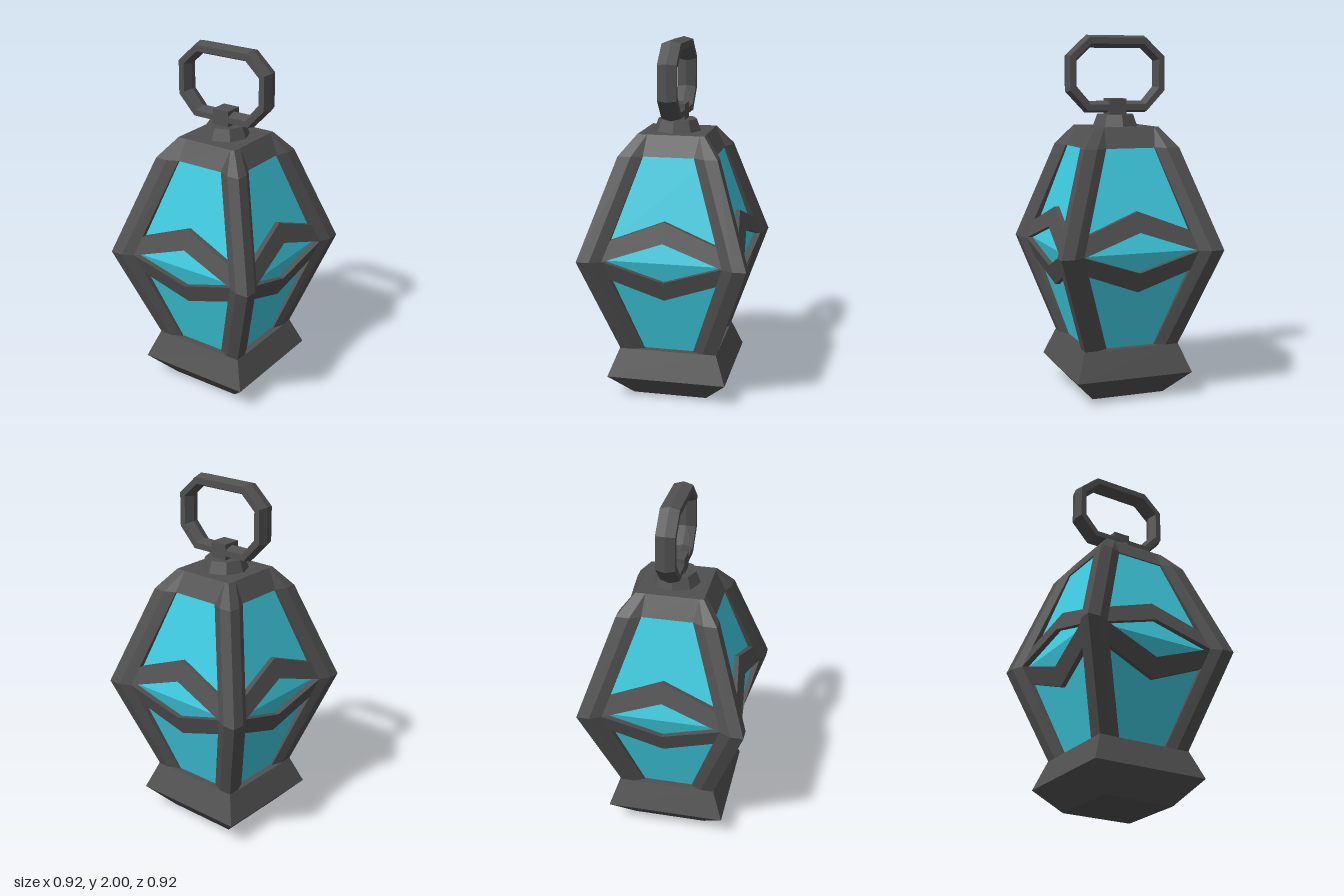
import * as THREE from 'three';

const metal = new THREE.MeshStandardMaterial({ color: 0x505050 });
metal.name = 'dark metal';
const glass = new THREE.MeshStandardMaterial({ color: 0x3ecbe0 });
glass.name = 'cyan glass';

// Joins matching cross-sections into a faceted solid; outward winding is set by the signed volume.
function loft(rings, closed = false) {
  const tris = [];
  const n = rings[0].length;
  const last = closed ? rings.length : rings.length - 1;
  for (let i = 0; i < last; i++) {
    const a = rings[i], b = rings[(i + 1) % rings.length];
    for (let j = 0; j < n; j++) {
      const k = (j + 1) % n;
      tris.push([a[j], a[k], b[k]], [a[j], b[k], b[j]]);
    }
  }
  if (!closed) {
    const cap = (ring, flip) => {
      const c = [0, 1, 2].map(d => ring.reduce((s, p) => s + p[d], 0) / n);
      ring.forEach((p, j) => {
        const q = ring[(j + 1) % n];
        tris.push(flip ? [c, q, p] : [c, p, q]);
      });
    };
    cap(rings[0], true);
    cap(rings[rings.length - 1], false);
  }
  const v = p => new THREE.Vector3(...p);
  const volume = tris.reduce((s, [a, b, c]) => s + v(a).dot(v(b).cross(v(c))), 0);
  const points = tris.flatMap(t => (volume < 0 ? [t[0], t[2], t[1]] : t)).map(v);
  const geometry = new THREE.BufferGeometry().setFromPoints(points);
  geometry.computeVertexNormals();
  return geometry;
}

const square = (h, y) => [[h, y, h], [h, y, -h], [-h, y, -h], [-h, y, h]];

// Body sizes by height, symmetric about the waist
const WAIST = 0.84, HALF = 0.55;
const body = y => {
  const t = Math.abs(y - WAIST) / HALF;
  const mix = (a, b) => a + (b - a) * t;
  return {
    corner: mix(0.462, 0.273), // outer corner of the posts
    ridge: mix(0.39, 0.2),     // where the raised corner begins
    face: mix(0.43, 0.245),    // front of the frame
    pane: mix(0.395, 0.235),   // glass surface
    side: mix(0.3275, 0.14),   // half width of the window
  };
};

export function createModel() {
  const model = new THREE.Group();
  model.name = 'lantern';
  const add = (name, geometry, material, parent = model) => {
    const mesh = new THREE.Mesh(geometry, material);
    mesh.name = name;
    parent.add(mesh);
    return mesh;
  };

  // Flared foot
  add('base', loft([square(0.21, 0), square(0.335, 0.135), square(0.275, 0.29)]), metal);

  // Glass body, widest at the waist
  add('glassBody', loft([0.28, WAIST, 1.4].map(y => square(body(y).pane, y))), glass);

  // Corner posts with a raised outer edge
  const postGeometry = loft([0.29, WAIST, 1.39].map(y => {
    const { corner: c, ridge: r, face: f, pane, side: w } = body(y);
    const b = pane - 0.02;
    return [[w, f], [r, c], [c, c], [c, r], [f, w], [b, w], [b, b], [w, b]].map(([x, z]) => [x, y, z]);
  }));

  // Chevron bars above and below the waist
  const chevron = up => loft([-1, 0, 1].map(s => {
    const top = s ? 0.95 : 1.06, bottom = s ? WAIST : 0.95;
    const point = (h, key, inset) => {
      const m = body(h);
      return [s * m.side, up ? h : 2 * WAIST - h, m[key] - inset];
    };
    return [point(top, 'face', 0), point(bottom, 'face', 0), point(bottom, 'pane', 0.02), point(top, 'pane', 0.02)];
  }));
  const upper = chevron(true), lower = chevron(false);

  for (let i = 0; i < 4; i++) {
    const side = new THREE.Group();
    side.name = 'frameSide' + (i + 1);
    side.rotation.y = i * Math.PI / 2;
    add('cornerPost', postGeometry, metal, side);
    add('upperChevron', upper, metal, side);
    add('lowerChevron', lower, metal, side);
    model.add(side);
  }

  // Roof: follows the post outline below and narrows to a flat square
  const outline = (y, w, f, r, c) => {
    const quarter = [[-w, f], [w, f], [r, c], [c, c], [c, r]];
    const ring = [];
    for (let i = 0; i < 4; i++) {
      for (const [x, z] of quarter) {
        const p = [[x, z], [z, -x], [-x, -z], [-z, x]][i];
        ring.push([p[0], y, p[1]]);
      }
    }
    return ring;
  };
  add('roof', loft([
    outline(1.39, 0.14, 0.245, 0.2, 0.273),
    outline(1.5, 0.13, 0.185, 0.16, 0.185),
  ]), metal);

  // Eight-sided collar and the lug that holds the ring
  const collar = new THREE.CylinderGeometry(0.108, 0.132, 0.065, 8).toNonIndexed();
  collar.computeVertexNormals();
  add('collar', collar, metal).position.y = 1.5325;
  add('ringLug', new THREE.BoxGeometry(0.104, 0.095, 0.1), metal).position.y = 1.605;

  // Eight-sided carrying ring with a six-sided section; each entry is outer z, y and inner z, y
  const half = [
    [0.17, 2, 0.15, 1.93], [0.29, 1.89, 0.225, 1.86],
    [0.29, 1.69, 0.225, 1.72], [0.18, 1.575, 0.155, 1.64],
  ];
  const stations = [...half, ...half.map(([a, b, c, d]) => [-a, b, -c, d]).reverse()];
  const section = [[0, 0], [0.052, 0.2], [0.052, 0.7], [0, 1], [-0.052, 0.7], [-0.052, 0.2]];
  add('carryRing', loft(stations.map(([oz, oy, iz, iy]) =>
    section.map(([x, t]) => [x, oy + (iy - oy) * t, oz + (iz - oz) * t])), true), metal);

  return model;
}
